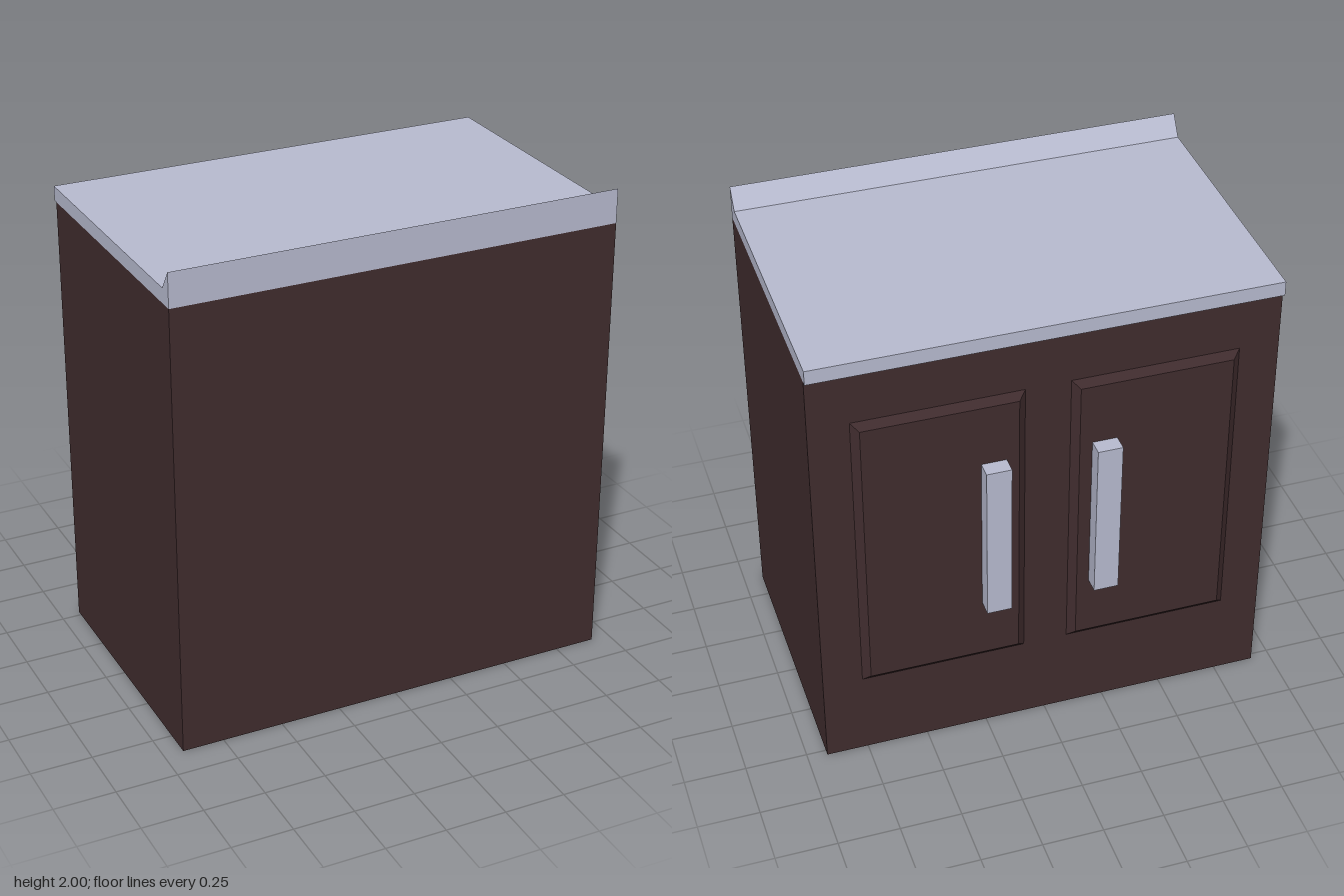
import * as THREE from 'three';

const W = 1.84; // overall width

// Extrudes a closed outline given as [z, y] points along x, centred on x = 0.
function profileAlongX(points, width) {
  const shape = new THREE.Shape(points.map(([z, y]) => new THREE.Vector2(-z, y)));
  const geo = new THREE.ExtrudeGeometry(shape, { depth: width, bevelEnabled: false });
  geo.translate(0, 0, -width / 2);
  geo.rotateY(Math.PI / 2);
  return geo;
}

// Box whose -z face is inset on every side, giving a bevelled panel.
function bevelledPanel(w, h, d, inset) {
  const geo = new THREE.BoxGeometry(w, h, d).toNonIndexed();
  const p = geo.attributes.position;
  for (let i = 0; i < p.count; i++) {
    if (p.getZ(i) < 0) {
      p.setX(i, p.getX(i) - Math.sign(p.getX(i)) * inset);
      p.setY(i, p.getY(i) - Math.sign(p.getY(i)) * inset);
    }
  }
  geo.computeVertexNormals();
  return geo;
}

export function createModel() {
  const model = new THREE.Group();
  model.name = 'cabinet';

  const wood = new THREE.MeshStandardMaterial({ color: 0x402c2e });
  wood.name = 'dark wood';
  const stone = new THREE.MeshStandardMaterial({ color: 0xb8bbd0 });
  stone.name = 'pale grey';

  const add = (name, geo, mat, x, y, z) => {
    const mesh = new THREE.Mesh(geo, mat);
    mesh.name = name;
    mesh.position.set(x, y, z);
    model.add(mesh);
  };

  // Carcass
  add('cabinetBody', new THREE.BoxGeometry(W, 1.86, 1.14), wood, 0, 0.93, 0.045);

  // Worktop with a sloped splash lip along its wall edge
  const top = profileAlongX(
    [[0.615, 1.86], [0.615, 2], [0.56, 1.92], [-0.545, 1.92], [-0.545, 1.86]], W);
  add('worktop', top, stone, 0, 0, 0);

  // Pair of raised doors with upright bar handles
  for (const [side, s] of [['left', 1], ['right', -1]]) {
    add(side + 'Door', bevelledPanel(0.67, 1.27, 0.025, 0.03), wood, s * 0.425, 1.005, -0.5375);
    add(side + 'Handle', new THREE.BoxGeometry(0.1, 0.69, 0.067), stone, s * 0.22, 1.005, -0.5825);
  }

  return model;
}
